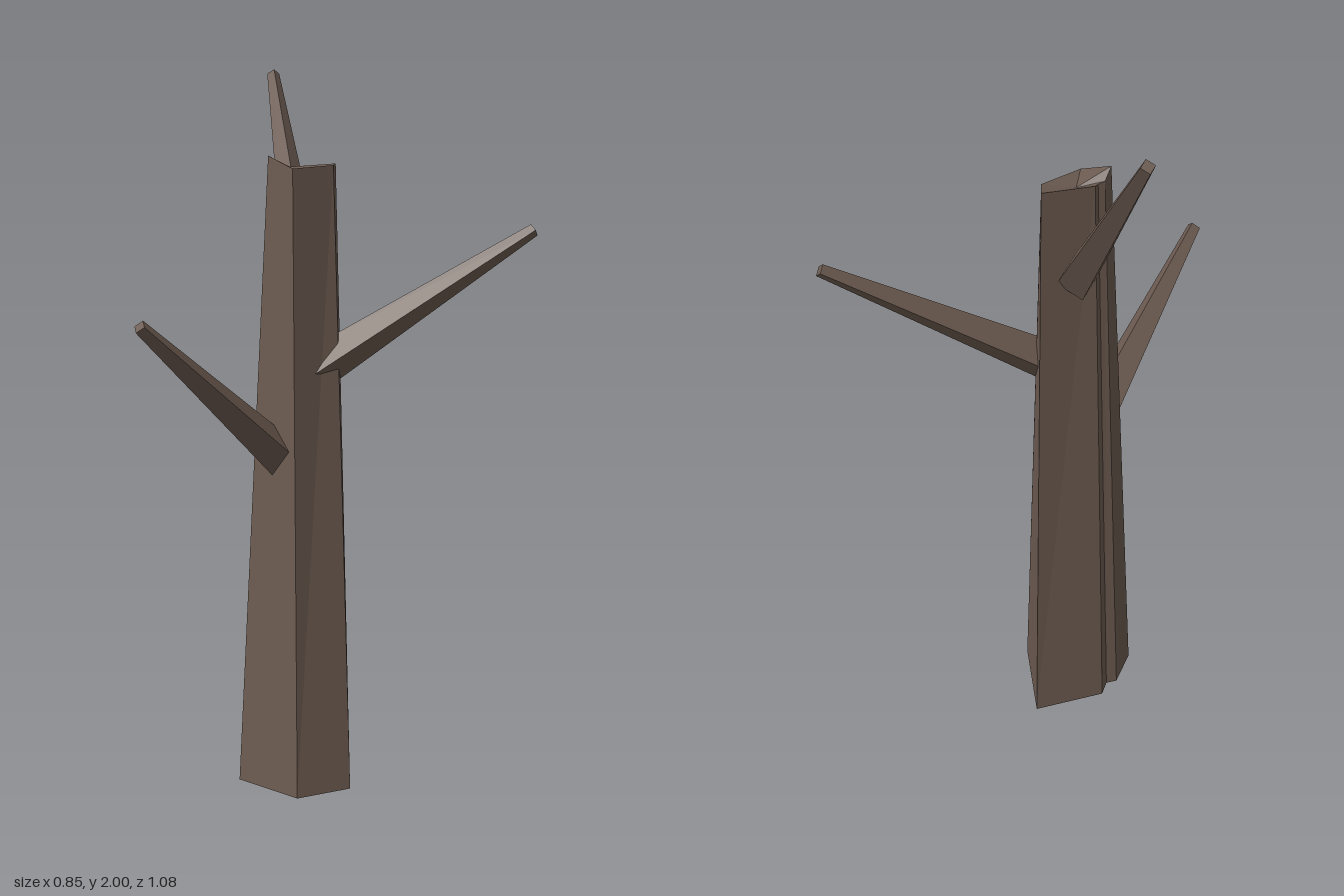
import * as THREE from 'three';

const bark = new THREE.MeshStandardMaterial({ color: 0x6b5a50, flatShading: true });
bark.name = 'bark';

// Trunk lofted between an uneven base ring and a smaller, jagged top ring
function makeTrunk() {
  const base = [[0, 0, -0.235], [-0.125, 0, -0.07], [-0.11, 0, -0.025], [-0.13, 0, 0],
    [-0.1, 0, 0.112], [0.115, 0, 0.1], [0.17, 0, -0.055]];
  const top = [[0, 1.72, -0.17], [-0.075, 1.71, -0.05], [-0.07, 1.705, -0.03], [-0.08, 1.71, -0.015],
    [-0.08, 1.74, 0.012], [0.012, 1.705, 0.012], [0.033, 1.715, -0.125]];
  const baseCentre = [0, 0.025, -0.03], topCentre = [-0.025, 1.695, -0.06];
  const points = [];
  base.forEach((b, i) => {
    const j = (i + 1) % base.length;
    points.push(b, base[j], top[j], b, top[j], top[i]); // side
    points.push(top[i], top[j], topCentre, base[j], b, baseCentre); // caps
  });
  const geometry = new THREE.BufferGeometry();
  geometry.setAttribute('position', new THREE.Float32BufferAttribute(points.flat(), 3));
  geometry.computeVertexNormals();
  const mesh = new THREE.Mesh(geometry, bark);
  mesh.name = 'trunk';
  return mesh;
}

// Four-sided tapering branch with a ridge along its top and bottom
function makeBranch(name, from, to, rootRadius, tipRadius) {
  const start = new THREE.Vector3(...from), end = new THREE.Vector3(...to);
  const geometry = new THREE.CylinderGeometry(tipRadius, rootRadius, start.distanceTo(end), 4);
  geometry.rotateX(Math.PI / 2);
  const mesh = new THREE.Mesh(geometry, bark);
  mesh.name = name;
  mesh.position.copy(start).add(end).multiplyScalar(0.5);
  mesh.lookAt(end);
  return mesh;
}

export function createModel() {
  const group = new THREE.Group();
  group.name = 'bareTree';
  group.add(
    makeTrunk(),
    makeBranch('frontBranch', [-0.02, 0.9, -0.01], [-0.02, 1.315, 0.525], 0.062, 0.019),
    makeBranch('leftBranch', [0.01, 1.155, -0.07], [0.41, 1.54, -0.53], 0.061, 0.018),
    makeBranch('rightBranch', [-0.045, 1.45, -0.085], [-0.412, 1.987, -0.342], 0.055, 0.018),
  );
  return group;
}
